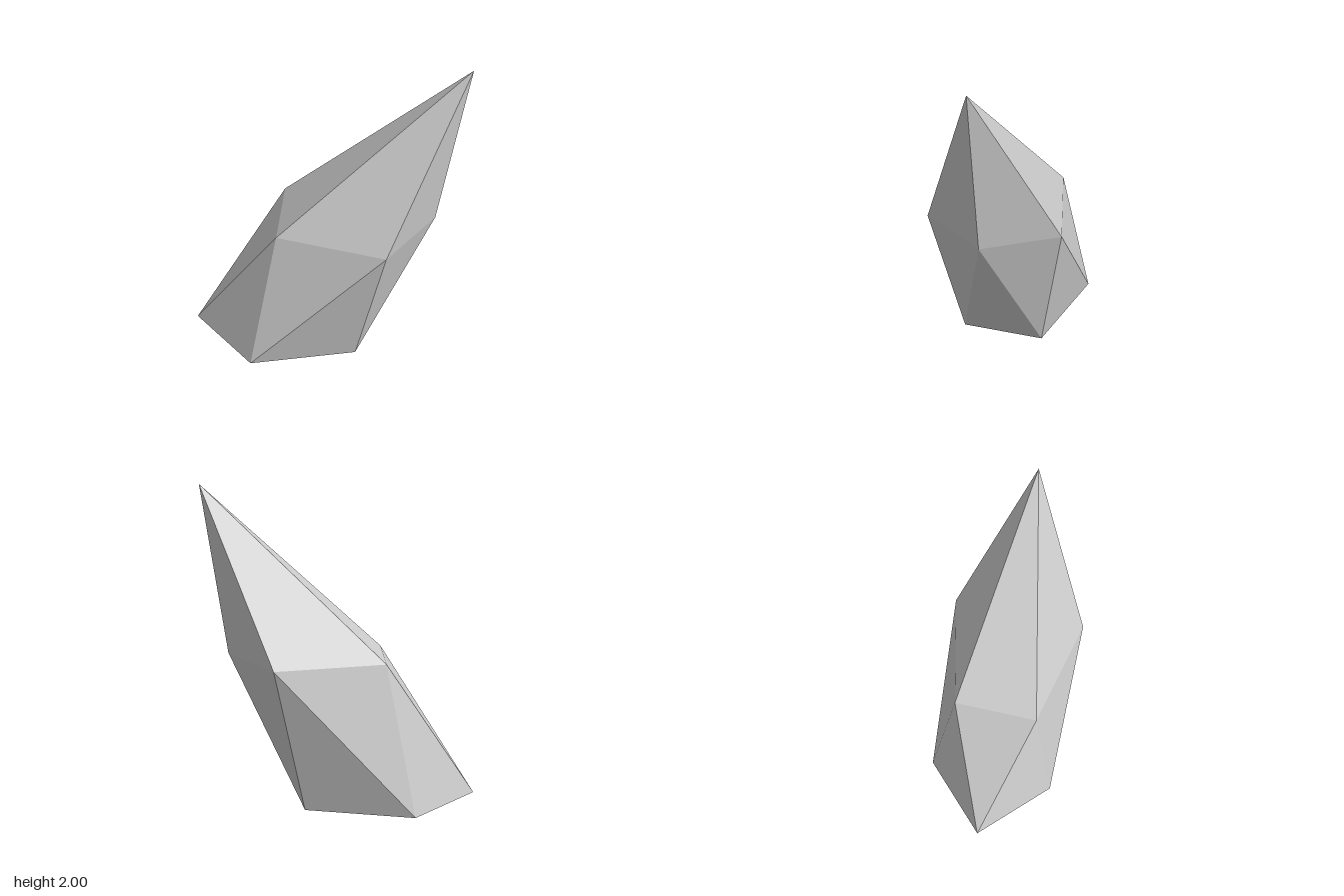
import * as THREE from 'three';

export function createModel() {
  const group = new THREE.Group();
  const stone = new THREE.MeshStandardMaterial({ color: 0xcccccc });
  stone.name = 'paleStone';

  // Leaning twenty-sided crystal: tip, two staggered five-point rings, base point
  const tip = [0.84, 2, 0];
  const base = [-0.26, 0, 0];
  const upper = [[0.69, 0.975, 0], [0.405, 0.955, 0.41], [-0.26, 0.955, 0.255],
    [-0.26, 0.955, -0.255], [0.405, 0.955, -0.41]];
  const lower = [[0.23, 0.047, 0.255], [-0.43, 0.047, 0.41], [-0.84, 0.052, 0],
    [-0.43, 0.047, -0.41], [0.23, 0.047, -0.255]];

  const points = [];
  const face = (a, b, c) => points.push(...a, ...b, ...c);
  for (let i = 0; i < 5; i++) {
    const j = (i + 1) % 5;
    face(tip, upper[j], upper[i]);         // long point
    face(upper[i], upper[j], lower[i]);    // body
    face(lower[i], upper[j], lower[j]);
    face(base, lower[i], lower[j]);        // shallow underside
  }

  // Unshared corners give each facet its own flat normal
  const geometry = new THREE.BufferGeometry();
  geometry.setAttribute('position', new THREE.Float32BufferAttribute(points, 3));
  geometry.computeVertexNormals();

  const crystal = new THREE.Mesh(geometry, stone);
  crystal.name = 'crystalShard';
  group.add(crystal);
  return group;
}
